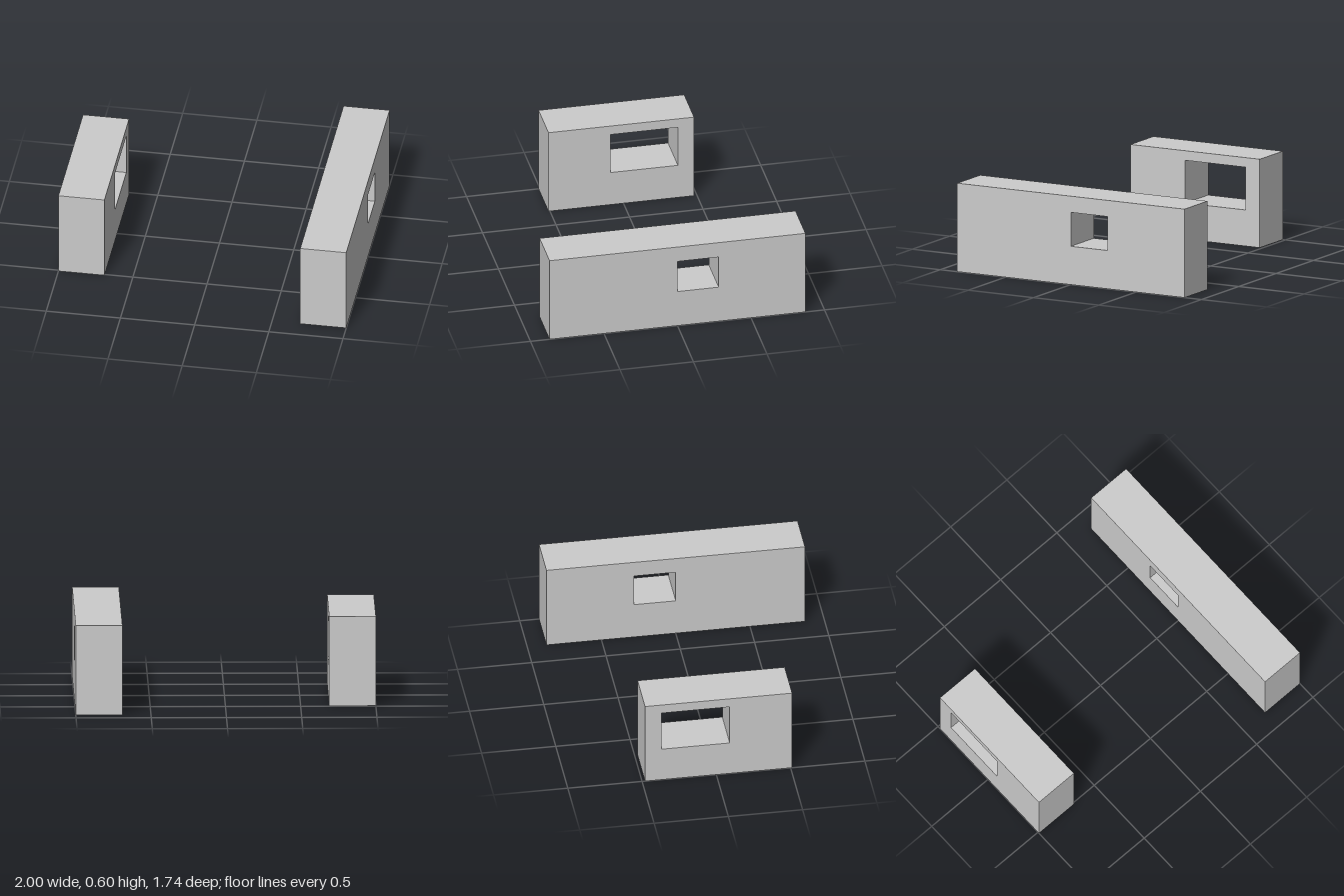
import * as THREE from 'three';

const HEIGHT = 0.6;

// Wall running along z, with a rectangular window cut through its thickness
function makeWall(name, [x0, x1], [z0, z1], [wz0, wz1], [wy0, wy1], material) {
  // Profile drawn in the z-y plane (shape x = -z), extruded along x
  const outline = new THREE.Shape([
    new THREE.Vector2(-z1, 0),
    new THREE.Vector2(-z0, 0),
    new THREE.Vector2(-z0, HEIGHT),
    new THREE.Vector2(-z1, HEIGHT),
  ]);
  outline.holes.push(new THREE.Path([
    new THREE.Vector2(-wz1, wy0),
    new THREE.Vector2(-wz1, wy1),
    new THREE.Vector2(-wz0, wy1),
    new THREE.Vector2(-wz0, wy0),
  ]));
  const geometry = new THREE.ExtrudeGeometry(outline, { depth: x1 - x0, bevelEnabled: false });
  geometry.rotateY(Math.PI / 2);
  geometry.translate(x0, 0, 0);
  const wall = new THREE.Mesh(geometry, material);
  wall.name = name;
  return wall;
}

export function createModel() {
  const model = new THREE.Group();
  model.name = 'windowWalls';
  const material = new THREE.MeshStandardMaterial({ color: 0xcccccc, flatShading: true });

  // Long wall with a small window, short wall with a larger one
  model.add(
    makeWall('longWall', [0.69, 1], [-0.87, 0.87], [-0.28, 0], [0.26, 0.49], material),
    makeWall('shortWall', [-1, -0.69], [-0.48, 0.51], [-0.37, 0.09], [0.245, 0.535], material),
  );
  return model;
}
